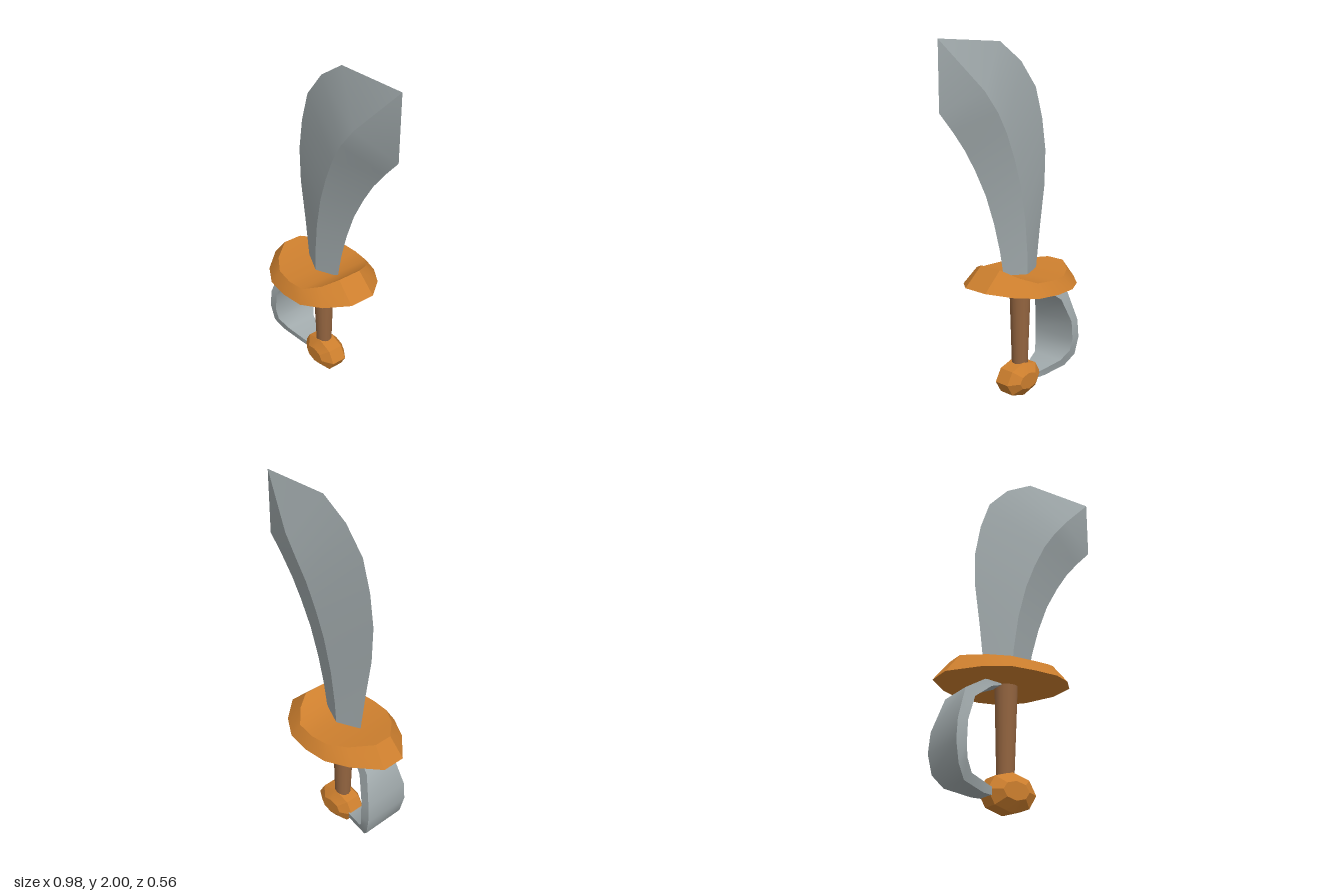
import * as THREE from 'three';
import { toCreasedNormals } from 'three/addons/utils/BufferGeometryUtils.js';

const steel = new THREE.MeshStandardMaterial({ name: 'steel grey', color: 0xa0a9ab });
const brass = new THREE.MeshStandardMaterial({ name: 'brass orange', color: 0xcd7f2e });
const wood = new THREE.MeshStandardMaterial({ name: 'grip brown', color: 0x946540 });

// Skin equal-sized rings of [x, y, z]; rings run counterclockwise seen from the advancing end
function loft(rings, crease) {
  const pos = [];
  const tri = (a, b, c) => {
    const [A, B, C] = [a, b, c].map((p) => new THREE.Vector3(...p));
    if (B.sub(A).cross(C.sub(A)).length() > 1e-9) pos.push(...a, ...b, ...c);
  };
  const n = rings[0].length;
  for (let i = 0; i < rings.length - 1; i++) {
    for (let j = 0; j < n; j++) {
      const k = (j + 1) % n;
      tri(rings[i][j], rings[i][k], rings[i + 1][k]);
      tri(rings[i][j], rings[i + 1][k], rings[i + 1][j]);
    }
  }
  const first = rings[0], last = rings[rings.length - 1];
  for (let j = 1; j < n - 1; j++) {
    tri(first[0], first[j + 1], first[j]);
    tri(last[0], last[j], last[j + 1]);
  }
  const g = new THREE.BufferGeometry();
  g.setAttribute('position', new THREE.Float32BufferAttribute(pos, 3));
  return toCreasedNormals(g, crease);
}

export function createModel() {
  const group = new THREE.Group();
  group.name = 'cutlass';
  const add = (name, geometry, material) => {
    const mesh = new THREE.Mesh(geometry, material);
    mesh.name = name;
    group.add(mesh);
    return mesh;
  };

  // Blade: spine x,y / ridge x,y / cutting edge x,y / half thickness
  const blade = [
    [-0.23, 0.70, -0.10, 0.70, 0.03, 0.70, 0.055],
    [-0.265, 0.97, -0.09, 0.86, 0.065, 0.88, 0.06],
    [-0.30, 1.20, -0.065, 1.05, 0.11, 1.04, 0.066],
    [-0.305, 1.40, -0.02, 1.24, 0.17, 1.20, 0.073],
    [-0.275, 1.58, 0.035, 1.39, 0.245, 1.34, 0.079],
    [-0.22, 1.75, 0.10, 1.53, 0.315, 1.45, 0.085],
    [-0.10, 1.89, 0.17, 1.64, 0.395, 1.55, 0.09],
    [0.06, 1.99, 0.257, 1.75, 0.485, 1.65, 0.083],
  ].map(([sx, sy, rx, ry, ex, ey, t]) => [[sx, sy, 0], [rx, ry, t], [ex, ey, 0], [rx, ry, -t]]);
  // the last facets close on the point, leaving a straight front edge
  const tip = [0.485, 2, 0];
  blade.push([tip, tip, tip, tip]);
  add('blade', loft(blade, 0.42), steel);

  // Guard: curved oval dish, lower rim x,y,z / upper rim x,y,z
  const guard = [
    [-0.49, 0.64, 0.07, -0.405, 0.75, 0.055],
    [-0.36, 0.65, 0.20, -0.31, 0.737, 0.165],
    [-0.235, 0.655, 0.268, -0.21, 0.73, 0.225],
    [-0.10, 0.657, 0.28, -0.10, 0.728, 0.237],
    [0.04, 0.665, 0.265, 0.01, 0.735, 0.225],
    [0.155, 0.68, 0.195, 0.09, 0.768, 0.155],
    [0.255, 0.70, 0.075, 0.14, 0.805, 0.07],
  ].map(([ox, oy, oz, ix, iy, iz]) => [[ox, oy, oz], [ox, oy, -oz], [ix, iy, -iz], [ix, iy, iz]]);
  add('guard', loft(guard, 0.55), brass);

  // Grip
  const grip = add('grip', new THREE.CylinderGeometry(0.062, 0.045, 0.54, 16), wood);
  grip.position.set(-0.098, 0.42, 0);

  // Pommel: bevelled eight-sided knob
  const octagon = (rx, ry, z) => Array.from({ length: 8 }, (_, i) => {
    const a = (i * Math.PI) / 4;
    return [-0.085 + rx * Math.cos(a), 0.102 + ry * Math.sin(a), z];
  });
  const pommel = [
    octagon(0.075, 0.048, -0.085), octagon(0.14, 0.1, -0.045),
    octagon(0.14, 0.1, 0.045), octagon(0.075, 0.048, 0.085),
  ];
  add('pommel', loft(pommel, 0.4), brass);

  // Knuckle guard band: outer x,y / inner x,y / half width
  const band = [
    [-0.15, 0.67, -0.15, 0.648, 0.04],
    [-0.26, 0.652, -0.22, 0.622, 0.06],
    [-0.395, 0.565, -0.34, 0.53, 0.105],
    [-0.45, 0.39, -0.395, 0.39, 0.14],
    [-0.457, 0.28, -0.40, 0.28, 0.145],
    [-0.435, 0.175, -0.39, 0.21, 0.135],
    [-0.385, 0.11, -0.345, 0.15, 0.10],
    [-0.255, 0.076, -0.22, 0.114, 0.06],
    [-0.18, 0.072, -0.18, 0.108, 0.045],
  ].map(([ox, oy, ix, iy, w]) => [[ox, oy, w], [ox, oy, -w], [ix, iy, -w], [ix, iy, w]]);
  add('knuckleGuard', loft(band, 0.8), steel);

  return group;
}
